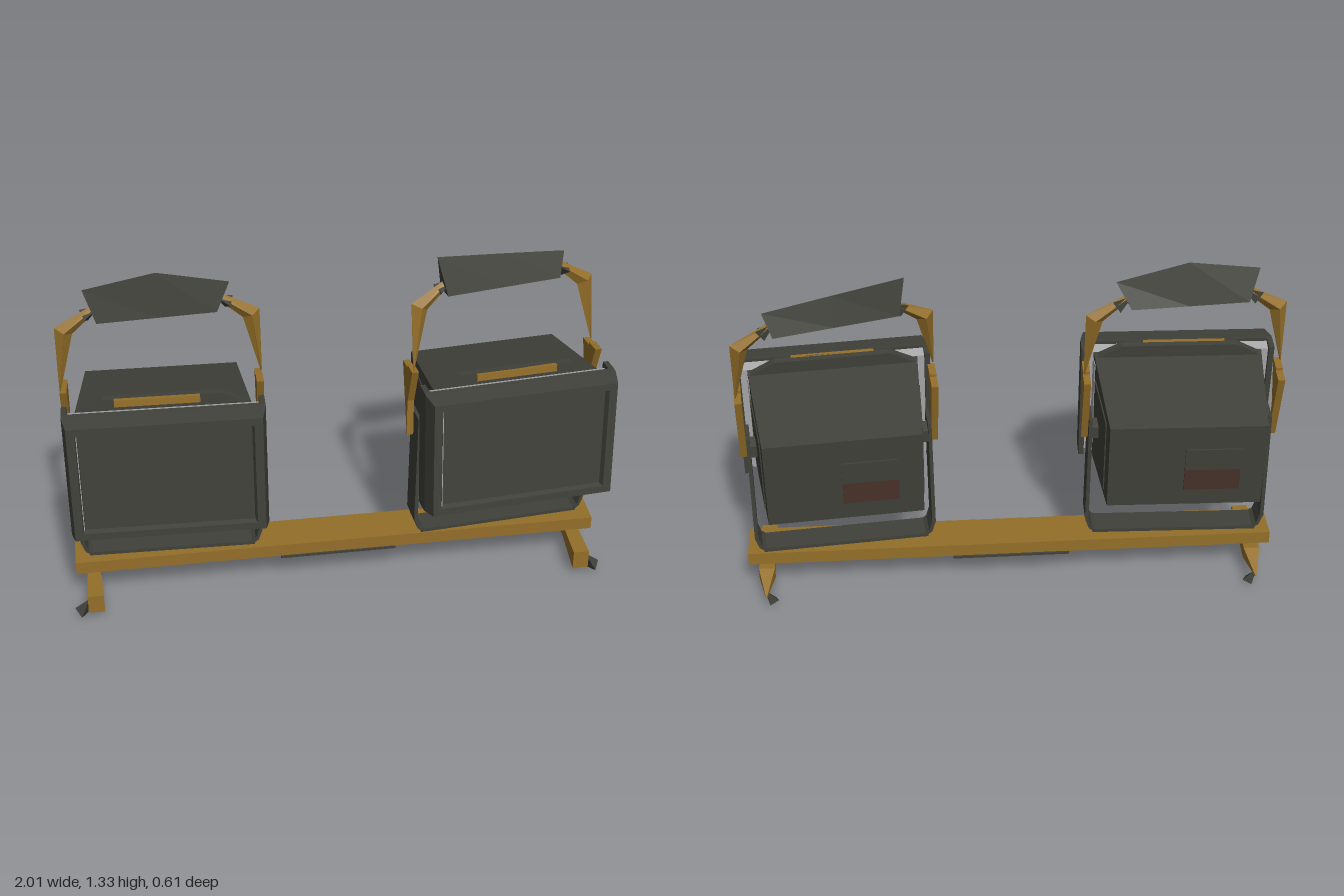
import * as THREE from 'three';

const mat = (name, color) => {
  const m = new THREE.MeshStandardMaterial({ color, flatShading: true });
  m.name = name;
  return m;
};
const DARK = mat('charcoal', 0x40413a);
const GOLD = mat('ochre', 0x946f29);
const SILVER = mat('reflectorGrey', 0xa9a9ac);
const BROWN = mat('labelBrown', 0x48332a);

function add(parent, name, geo, material, x = 0, y = 0, z = 0) {
  const m = new THREE.Mesh(geo, material);
  m.name = name;
  m.position.set(x, y, z);
  parent.add(m);
  return m;
}
function group(parent, name) {
  const g = new THREE.Group();
  g.name = name;
  parent.add(g);
  return g;
}
const box = (w, h, d) => new THREE.BoxGeometry(w, h, d);

// Skin through equal-length rings, each counter-clockwise seen from the far end
function loft(rings, capStart = true, capEnd = true) {
  const p = [];
  const tri = (a, b, c) => p.push(...a, ...b, ...c);
  const n = rings[0].length;
  for (let k = 0; k + 1 < rings.length; k++)
    for (let i = 0; i < n; i++) {
      const j = (i + 1) % n, a = rings[k], b = rings[k + 1];
      tri(a[i], a[j], b[j]);
      tri(a[i], b[j], b[i]);
    }
  const first = rings[0], last = rings[rings.length - 1];
  for (let i = 1; i + 1 < n; i++) {
    if (capStart) tri(first[0], first[i + 1], first[i]);
    if (capEnd) tri(last[0], last[i], last[i + 1]);
  }
  const g = new THREE.BufferGeometry();
  g.setAttribute('position', new THREE.Float32BufferAttribute(p, 3));
  g.computeVertexNormals();
  return g;
}
const rect = (w, h, z, y = 0) => [
  [-w / 2, y - h / 2, z], [w / 2, y - h / 2, z], [w / 2, y + h / 2, z], [-w / 2, y + h / 2, z]];

function prism(points, depth) {
  const s = new THREE.Shape(points.map(([x, y]) => new THREE.Vector2(x, y)));
  return new THREE.ExtrudeGeometry(s, { depth, bevelEnabled: false });
}

// Tapered lamp housing, bezel, glass, lips and label
function buildHead(parent, tilt, clipX) {
  const head = group(parent, 'lampHead');
  head.position.y = 0.635;
  head.rotation.x = tilt;
  add(head, 'housing', loft([rect(0.56, 0.35, -0.26), rect(0.62, 0.45, 0.15)]), DARK);
  add(head, 'reflectorFlange', loft([rect(0.67, 0.45, 0.14), rect(0.69, 0.465, 0.185)]), SILVER);
  add(head, 'bezel', loft([rect(0.71, 0.485, 0.18), rect(0.71, 0.48, 0.2), rect(0.68, 0.455, 0.265),
    rect(0.62, 0.4, 0.265), rect(0.6, 0.385, 0.24)], true, false), DARK);
  add(head, 'glass', new THREE.PlaneGeometry(0.62, 0.4), DARK, 0, 0, 0.245);
  add(head, 'reflectorEdge', box(0.008, 0.39, 0.004), SILVER, -0.308, 0, 0.255);
  for (const s of [-1, 1]) {
    add(head, 'bezelCheek', box(0.02, 0.485, 0.06), DARK, s * 0.345, 0, 0.155);
    add(head, 'reflectorStrip', box(0.008, 0.4, 0.05), SILVER, s * 0.306, 0, 0.118).rotation.y = s * 0.073;
    add(head, 'sidePanel', box(0.008, 0.3, 0.26), DARK, s * 0.295, -0.005, -0.06).rotation.y = s * 0.073;
    const lip = prism([[-0.3, 0.22], [0.3, 0.22], [0.21, 0.268], [-0.21, 0.268]], 0.03);
    const m = add(head, s > 0 ? 'upperLip' : 'lowerLip', lip, DARK, 0, 0, s > 0 ? 0.11 : 0.14);
    if (s < 0) m.rotation.x = Math.PI;
    if (s < 0) m.position.set(0, -0.01, 0.15);
  }
  add(head, 'topClip', box(0.3, 0.026, 0.016), GOLD, clipX, 0.255, 0.142);
  // Rear label, lower half brown
  add(head, 'labelUpper', box(0.2, 0.09, 0.006), DARK, -0.09, 0.05, -0.285);
  add(head, 'labelLower', box(0.2, 0.09, 0.006), BROWN, -0.09, -0.04, -0.285);
}

// Flat U-shaped yoke with wedge clamps
function buildYoke(parent) {
  const yoke = group(parent, 'yoke');
  add(yoke, 'yokeBase', box(0.62, 0.014, 0.1), DARK, 0, 0.182, -0.01);
  for (const s of [-1, 1]) {
    const side = group(yoke, 'yokeSide');
    side.scale.x = s;
    const arm = [[0.3, 0.175], [0.325, 0.195], [0.34, 0.24], [0.335, 0.69],
      [0.322, 0.69], [0.326, 0.24], [0.314, 0.2], [0.3, 0.189]];
    add(side, 'yokeArm', prism(arm, 0.1), DARK, 0, 0, -0.06);
    const bolt = add(side, 'pivotBolt', new THREE.CylinderGeometry(0.04, 0.04, 0.05, 5), DARK, 0.305, 0.63, -0.02);
    bolt.rotation.z = Math.PI / 2;
    const prongs = [
      [[0.03, 0.89], [-0.035, 0.885], [-0.02, 0.74]],
      [[-0.025, 0.875], [-0.095, 0.87], [-0.02, 0.59]]];
    for (const pts of prongs) {
      // profile is drawn in z and y, then turned to face sideways
      const g = prism(pts.map(([z, y]) => [-z, y]), 0.025);
      g.rotateY(Math.PI / 2);
      add(side, 'clampProng', g, GOLD, 0.336, 0, 0);
    }
  }
}

// Carry handle: two bent tapering legs and a faceted grip
function buildHandle(parent, lean, yaw, top) {
  const handle = group(parent, 'handle');
  handle.position.set(0, 0.89, -0.02);
  handle.rotation.set(lean, yaw, 0);
  const ring = (xo, yo, xi, yi, t) => {
    const cx = (xo + xi) / 2, cy = (yo + yi) / 2;
    return [[cx, cy, t], [xo, yo, 0], [cx, cy, -t], [xi, yi, 0]];
  };
  for (const s of [-1, 1]) {
    const leg = add(handle, 'handleLeg', loft([
      ring(0.362, 0, 0.357, 0, 0.004),
      ring(0.36, 0.25, 0.3, 0.22, 0.026),
      ring(0.22, 0.325, 0.21, 0.3, 0.008)]), GOLD);
    leg.scale.x = s;
    const collar = add(handle, 'gripCollar', new THREE.ConeGeometry(0.03, 0.07, 3), DARK, s * 0.225, 0.3, 0);
    collar.rotation.z = s * 1;
  }
  add(handle, 'grip', loft(top.map(([x, y, xb]) => [
    [x, y, 0.012], [xb, 0.265, 0.03], [xb, 0.28, -0.035]])), DARK);
}

function buildLamp(parent, name, x, yaw, tilt, clipX, lean, handleYaw, gripTop) {
  const lamp = group(parent, name);
  lamp.position.x = x;
  lamp.rotation.y = yaw;
  buildHead(lamp, tilt, clipX);
  buildYoke(lamp);
  buildHandle(lamp, lean, handleYaw, gripTop);
}

export function createModel() {
  const model = new THREE.Group();
  model.name = 'twinWorkLight';

  // Crossbar, open at both ends
  const barRing = x => [[x, 0.17, -0.09], [x, 0.17, 0.065], [x, 0.12, 0.065], [x, 0.12, -0.09]];
  add(model, 'crossbar', loft([barRing(-0.99), barRing(0.99)], false, false), GOLD);
  add(model, 'mountPlate', box(0.44, 0.008, 0.17), DARK, 0, 0.117, -0.013);

  buildLamp(model, 'rightLamp', -0.625, -0.03, -0.06, -0.02, -0.04, 0.09,
    [[-0.255, 0.39, -0.215], [0.0, 0.43, 0], [0.255, 0.37, 0.205]]);
  buildLamp(model, 'leftLamp', 0.625, 0.09, -0.065, 0, -0.2, 0.14,
    [[-0.26, 0.41, -0.23], [0, 0.385, 0], [0.24, 0.36, 0.215]]);

  // Splayed wedge feet with dark tips
  for (const s of [-1, 1]) {
    const foot = group(model, 'foot');
    foot.position.x = s * 0.925;
    add(foot, 'footWedge', loft([rect(0.006, 0.006, -0.2, 0.05), rect(0.06, 0.045, -0.09, 0.075),
      rect(0.05, 0.045, 0, 0.07), rect(0.06, 0.075, 0.18, 0.06)]), GOLD);
    const front = add(foot, 'footTip', new THREE.ConeGeometry(0.03, 0.07, 3), DARK, s * 0.04, 0.045, 0.165);
    front.rotation.z = s * 0.5;
    const back = add(foot, 'footTip', new THREE.ConeGeometry(0.025, 0.06, 3), DARK, -s * 0.01, 0.03, -0.17);
    back.rotation.z = -s * 0.6;
  }
  return model;
}
